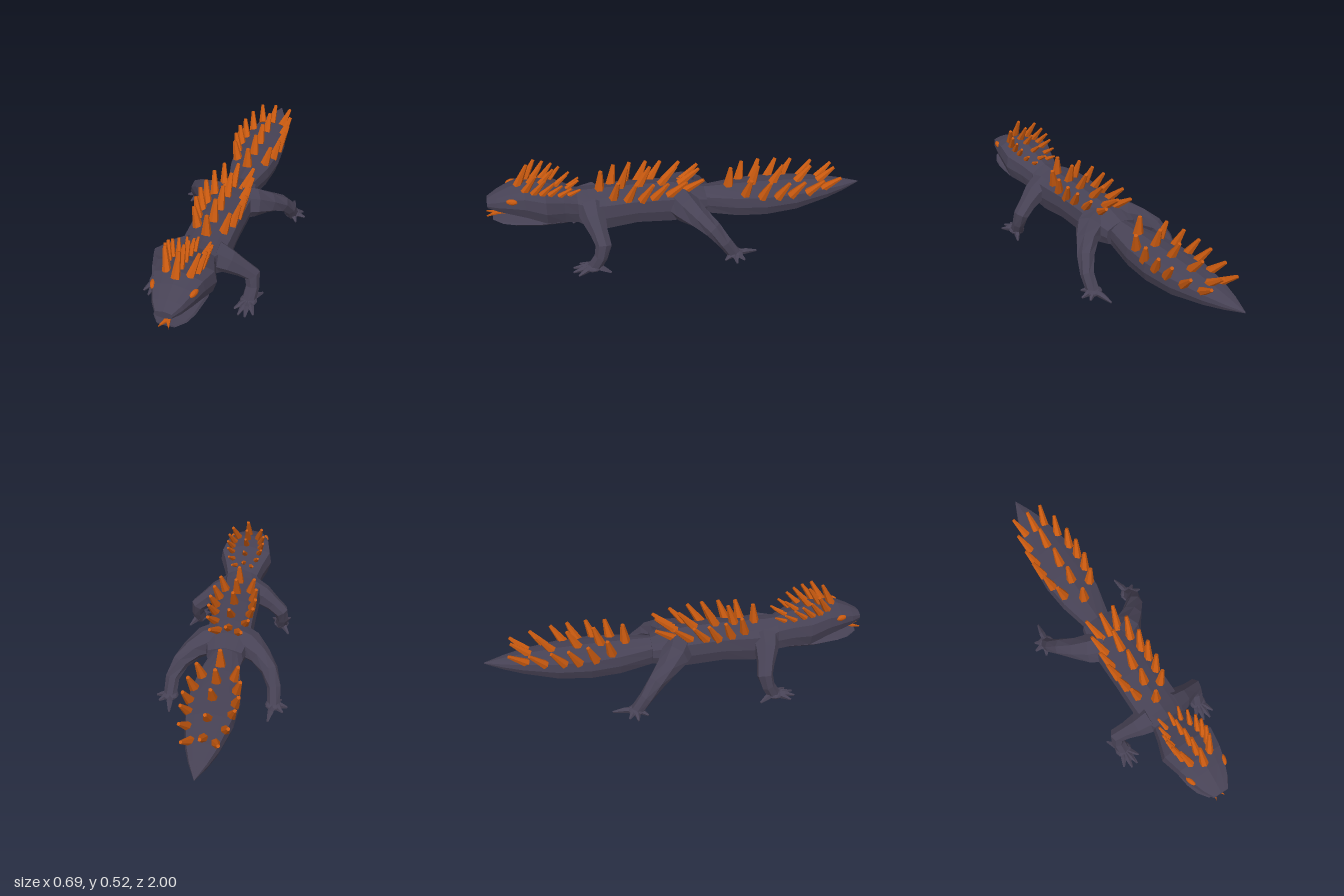
import * as THREE from 'three';

const hide = new THREE.MeshStandardMaterial({ color: 0x474255, flatShading: true });
hide.name = 'slate hide';
const horn = new THREE.MeshStandardMaterial({ color: 0xc8590f, flatShading: true });
horn.name = 'orange horn';

const V = (x, y, z) => new THREE.Vector3(x, y, z);

// Skin a series of rings (counter-clockwise about the travel direction), closing both ends
function skin(rings) {
  const pos = [];
  const tri = (...pts) => pts.forEach((p) => pos.push(p.x, p.y, p.z));
  const n = rings[0].length;
  for (let i = 0; i < rings.length - 1; i++) {
    for (let j = 0; j < n; j++) {
      const k = (j + 1) % n;
      tri(rings[i][j], rings[i][k], rings[i + 1][k]);
      tri(rings[i][j], rings[i + 1][k], rings[i + 1][j]);
    }
  }
  const last = rings[rings.length - 1];
  for (let j = 1; j < n - 1; j++) {
    tri(rings[0][0], rings[0][j + 1], rings[0][j]);
    tri(last[0], last[j], last[j + 1]);
  }
  const g = new THREE.BufferGeometry();
  g.setAttribute('position', new THREE.Float32BufferAttribute(pos, 3));
  g.computeVertexNormals();
  return g;
}

// Half of the angular trunk section: fraction of half width, fraction of height
const half = [[0, 0], [0.86, 0.14], [1, 0.48], [0.93, 0.8], [0.55, 0.9], [0, 1]];
const outline = [...half, ...half.slice(1, -1).reverse().map(([x, y]) => [-x, y])];

// Sections are [z, half width, top, bottom], from back to front
const loft = (sections) => skin(sections.map(([z, w, t, b]) =>
  outline.map(([x, y]) => V(x * w, b + y * (t - b), z))));

const trunk = [
  [-0.13, 0.095, 0.275, 0.15], [-0.04, 0.118, 0.31, 0.128], [0.06, 0.12, 0.325, 0.125],
  [0.24, 0.12, 0.335, 0.14], [0.4, 0.12, 0.335, 0.12], [0.48, 0.118, 0.335, 0.13],
  [0.54, 0.09, 0.34, 0.165], [0.61, 0.112, 0.37, 0.19], [0.7, 0.148, 0.405, 0.21],
  [0.8, 0.126, 0.42, 0.25], [0.87, 0.105, 0.402, 0.272], [0.94, 0.075, 0.372, 0.29],
  [0.99, 0.042, 0.345, 0.305],
];
const tailSections = [
  [-1, 0.002, 0.202, 0.196], [-0.9, 0.046, 0.222, 0.17], [-0.8, 0.08, 0.238, 0.148],
  [-0.62, 0.118, 0.258, 0.114], [-0.45, 0.128, 0.268, 0.104], [-0.3, 0.112, 0.272, 0.108],
  [-0.12, 0.068, 0.275, 0.13], [0, 0.06, 0.27, 0.15],
];
const jawSections = [
  [0.6, 0.09, 0.23, 0.19], [0.73, 0.116, 0.25, 0.205], [0.86, 0.1, 0.247, 0.217],
  [0.92, 0.08, 0.247, 0.222], [0.97, 0.045, 0.25, 0.238],
];

// Height of the back at a point
function surfaceY(sections, x, z) {
  let i = 0;
  while (i < sections.length - 2 && sections[i + 1][0] < z) i++;
  const f = THREE.MathUtils.clamp((z - sections[i][0]) / (sections[i + 1][0] - sections[i][0]), 0, 1);
  const [w, t, b] = [1, 2, 3].map((k) => THREE.MathUtils.lerp(sections[i][k], sections[i + 1][k], f));
  const q = Math.min(Math.abs(x) / w, 0.93);
  const y = q < 0.55 ? 1 - 0.1 * q / 0.55 : 0.9 - 0.1 * (q - 0.55) / 0.38;
  return b + y * (t - b);
}

// Tapering limb through points [x, y, z, radius]
function limb(points, sides = 7) {
  const c = points.map((p) => V(p[0], p[1], p[2]));
  return skin(c.map((p, i) => {
    const T = c[Math.min(i + 1, c.length - 1)].clone().sub(c[Math.max(i - 1, 0)]).normalize();
    const u = V(0, 0, 1).addScaledVector(T, -T.z);
    if (u.length() < 0.3) u.set(0, 1, 0).addScaledVector(T, -T.y);
    u.normalize();
    const v = T.clone().cross(u);
    return Array.from({ length: sides }, (_, j) => {
      const a = (j / sides) * Math.PI * 2;
      return p.clone().addScaledVector(u, Math.cos(a) * points[i][3]).addScaledVector(v, Math.sin(a) * points[i][3]);
    });
  }));
}

function add(parent, name, geometry, material) {
  const m = new THREE.Mesh(geometry, material);
  m.name = name;
  parent.add(m);
  return m;
}

// Leg with a low foot pad and splayed toes
function leg(name, s, path, foot, toes) {
  const g = new THREE.Group();
  g.name = name;
  add(g, 'limb', limb(path.map(([x, ...r]) => [s * x, ...r])), hide);
  const pad = add(g, 'footPad', new THREE.IcosahedronGeometry(1, 1), hide);
  pad.position.set(s * foot[0], 0.021, foot[1]);
  pad.scale.set(0.044, 0.021, 0.044);
  for (const [x, z] of toes) {
    const mx = (foot[0] + x) / 2, mz = (foot[1] + z) / 2;
    add(g, 'toe', limb([[s * foot[0], 0.022, foot[1], 0.018], [s * mx, 0.019, mz, 0.016],
      [s * x, 0.007, z, 0.005]], 5), hide);
  }
  return g;
}

// Three rows of blunt spikes that lean further back along the row
const rows = [
  [0, 0], [0, 0.24], [0, 0.46], [0, 0.71], [0, 0.93],
  [0.72, 0.14], [0.94, 0.3], [1, 0.46], [0.95, 0.6], [0.82, 0.78], [0.55, 0.95],
];
function spikes(name, sections, o) {
  const g = new THREE.Group();
  g.name = name;
  for (const [q, t] of rows) {
    const h = THREE.MathUtils.lerp(o.h[0], o.h[1], t);
    const r = THREE.MathUtils.lerp(o.r[0], o.r[1], t);
    const lean = THREE.MathUtils.lerp(o.lean[0], o.lean[1], t);
    const z = o.start - o.length * t + 0.5 * h * Math.sin(lean);
    for (const s of q ? [1, -1] : [0]) {
      const x = s * q * o.width;
      const dir = V(s * 0.25, Math.cos(lean), -Math.sin(lean)).normalize();
      const geo = new THREE.CylinderGeometry(r * 0.38, r, h, 6);
      geo.translate(0, h / 2 - 0.012, 0);
      const m = add(g, 'spike', geo, horn);
      m.position.set(x, surfaceY(sections, x, z), z);
      m.quaternion.setFromUnitVectors(V(0, 1, 0), dir);
    }
  }
  return g;
}

export function createModel() {
  const model = new THREE.Group();
  model.name = 'spinedLizard';
  add(model, 'bodyAndHead', loft(trunk), hide);
  add(model, 'tail', loft(tailSections), hide);
  add(model, 'lowerJaw', loft(jawSections), hide);

  // Flat forked tongue
  const fork = new THREE.Shape([[-0.014, 0.78], [0.014, 0.78], [0.012, 0.94], [0.025, 1], [0, 0.965],
    [-0.025, 1], [-0.012, 0.94]].map(([x, y]) => new THREE.Vector2(x, y)));
  const tongue = add(model, 'tongue', new THREE.ExtrudeGeometry(fork, { depth: 0.008, bevelEnabled: false }), horn);
  tongue.rotation.x = Math.PI / 2;
  tongue.position.y = 0.26;

  for (const s of [1, -1]) {
    const side = s > 0 ? 'left' : 'right';
    const eye = add(model, side + 'Eye', new THREE.IcosahedronGeometry(1, 1), horn);
    eye.position.set(s * 0.098, 0.369, 0.865);
    eye.scale.set(0.013, 0.016, 0.03);
    eye.rotation.y = -s * 0.3;

    model.add(leg(side + 'FrontLeg', s, [
      [0.06, 0.25, 0.47, 0.08], [0.13, 0.225, 0.465, 0.062], [0.19, 0.185, 0.45, 0.046],
      [0.24, 0.145, 0.437, 0.042], [0.248, 0.085, 0.455, 0.035], [0.24, 0.02, 0.49, 0.036],
    ], [0.24, 0.495], [[0.185, 0.56], [0.215, 0.595], [0.252, 0.6], [0.287, 0.575], [0.29, 0.41]]));

    model.add(leg(side + 'HindLeg', s, [
      [0.05, 0.23, 0.01, 0.09], [0.12, 0.225, -0.02, 0.078], [0.18, 0.2, -0.07, 0.058],
      [0.235, 0.16, -0.13, 0.046], [0.268, 0.095, -0.185, 0.037], [0.272, 0.02, -0.235, 0.035],
    ], [0.272, -0.24], [[0.255, -0.36], [0.325, -0.28], [0.345, -0.235], [0.308, -0.18]]));
  }

  model.add(spikes('headSpikes', trunk,
    { start: 0.8, length: 0.27, width: 0.08, h: [0.125, 0.075], r: [0.023, 0.014], lean: [0.45, 1.05] }));
  model.add(spikes('backSpikes', trunk,
    { start: 0.415, length: 0.51, width: 0.095, h: [0.11, 0.135], r: [0.027, 0.024], lean: [0.1, 0.98] }));
  model.add(spikes('tailSpikes', tailSections,
    { start: -0.27, length: 0.59, width: 0.11, h: [0.11, 0.115], r: [0.029, 0.023], lean: [0.1, 0.95] }));
  return model;
}
